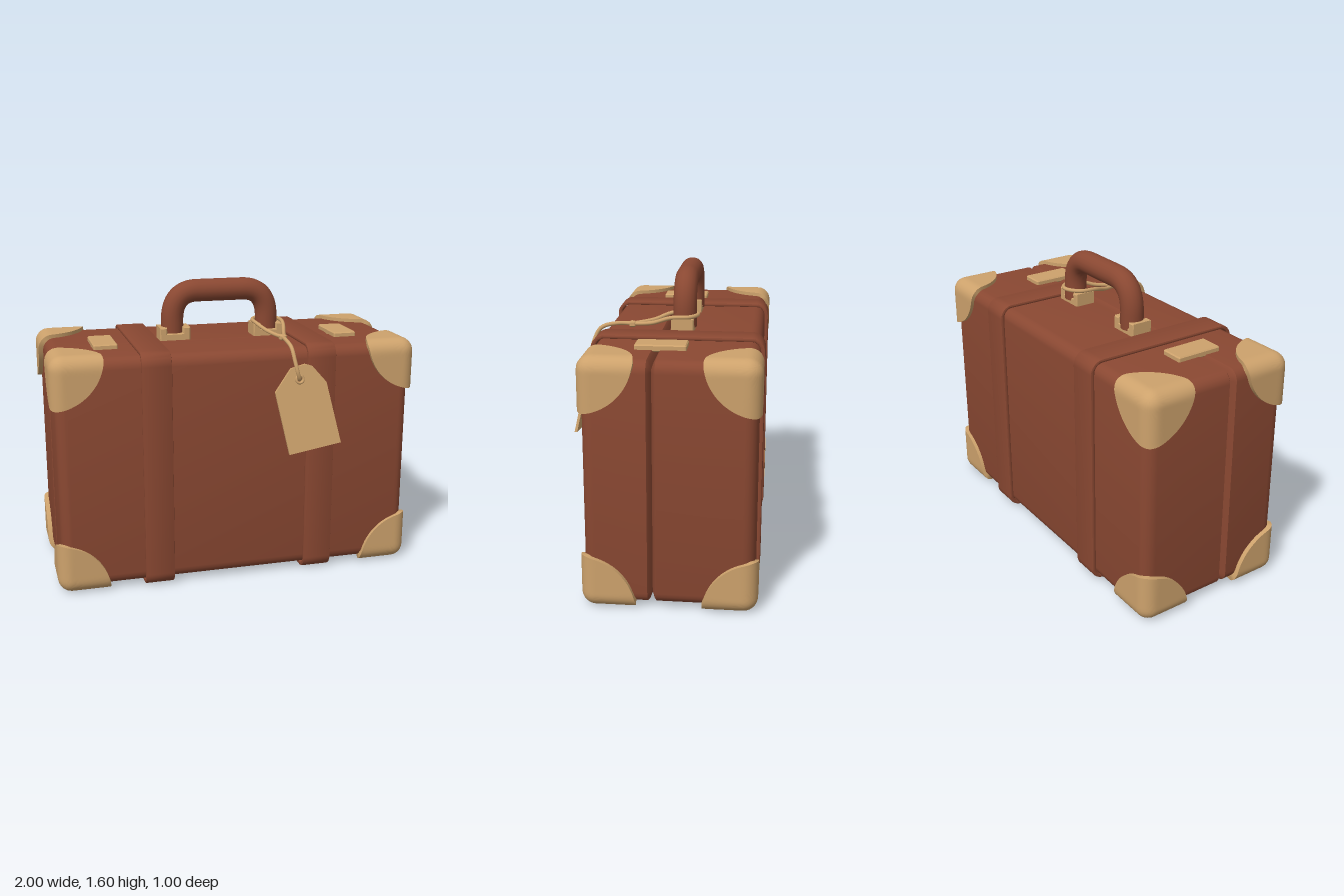
import * as THREE from 'three';
import { toCreasedNormals } from 'three/addons/utils/BufferGeometryUtils.js';

const leather = new THREE.MeshStandardMaterial({ color: 0x8a4832 });
leather.name = 'brown leather';
const tan = new THREE.MeshStandardMaterial({ color: 0xcda26c });
tan.name = 'tan leather';

const V = (x, y, z) => new THREE.Vector3(x, y, z);

function indexed(points, index, crease = 0.7) {
  const g = new THREE.BufferGeometry().setFromPoints(points);
  g.setIndex(index);
  return toCreasedNormals(g, crease);
}

// Case: rounded rectangles lofted from back to front, pinched at the seam
function caseGeometry() {
  const r = 0.06, hx = 0.975, hy = 0.6275, cy = 0.6525, seam = 0.03;
  const back = -0.48, front = 0.37, steps = 5, rows = [];
  for (let i = 0; i <= steps; i++) {
    const a = (i / steps) * Math.PI / 2;
    rows.push([back + r * (1 - Math.cos(a)), r * (1 - Math.sin(a))]);
  }
  rows.push([seam - 0.022, 0], [seam - 0.012, 0.012], [seam, 0.045], [seam + 0.012, 0.012], [seam + 0.022, 0]);
  for (let i = steps; i >= 0; i--) {
    const a = (i / steps) * Math.PI / 2;
    rows.push([front - r * (1 - Math.cos(a)), r * (1 - Math.sin(a))]);
  }
  const pts = [], index = [], n = 4 * (steps + 1);
  for (const [z, inset] of rows) {
    for (let k = 0; k < 4; k++) {
      const sx = k === 0 || k === 3 ? 1 : -1, sy = k < 2 ? 1 : -1;
      for (let i = 0; i <= steps; i++) {
        const a = (k + i / steps) * Math.PI / 2;
        pts.push(V(sx * (hx - r) + (r - inset) * Math.cos(a), cy + sy * (hy - r) + (r - inset) * Math.sin(a), z));
      }
    }
  }
  for (let i = 0; i < rows.length - 1; i++) {
    for (let j = 0; j < n; j++) {
      const a = i * n + j, b = i * n + (j + 1) % n;
      index.push(a, b, b + n, a, b + n, a + n);
    }
  }
  const last = (rows.length - 1) * n;
  for (let j = 1; j < n - 1; j++) index.push(0, j + 1, j, last, last + j, last + j + 1);
  return indexed(pts, index);
}

// Corner guard: rounded box corner cut off at a fixed distance from its tip
function cornerGeometry(sx, sy, sz) {
  const tip = V(sx, sy > 0 ? 1.3 : 0, sz > 0 ? 0.39 : -0.5);
  const R = 0.28, r = 0.075, rings = 14, seg = 20, n = 3 * seg;
  const pts = [], index = [];
  for (let i = 0; i <= rings + 1; i++) {
    const s = R * Math.min(i, rings) / rings;
    for (let j = 0; j < n; j++) {
      const face = Math.floor(j / seg), a = (j % seg) / seg * Math.PI / 2;
      const q = [0, 0, 0];
      q[face] = s * Math.cos(a);
      q[(face + 1) % 3] = s * Math.sin(a);
      const core = V(...q.map(v => Math.max(v, r)));
      const d = V(...q).sub(core).normalize();
      // the last ring turns in towards the case
      core.addScaledVector(d, i > rings ? r - 0.035 : r);
      pts.push(V(tip.x - sx * core.x, tip.y - sy * core.y, tip.z - sz * core.z));
    }
  }
  const tri = (a, b, c) => (sx * sy * sz > 0 ? index.push(a, b, c) : index.push(a, c, b));
  for (let i = 0; i <= rings; i++) {
    for (let j = 0; j < n; j++) {
      const a = i * n + j, b = i * n + (j + 1) % n;
      tri(a, a + n, b + n);
      if (i > 0) tri(a, b + n, b);
    }
  }
  return indexed(pts, index, 0.8);
}

function roundedRect(path, x0, y0, x1, y1, r) {
  path.moveTo(x0 + r, y0);
  path.lineTo(x1 - r, y0);
  path.absarc(x1 - r, y0 + r, r, -Math.PI / 2, 0);
  path.lineTo(x1, y1 - r);
  path.absarc(x1 - r, y1 - r, r, 0, Math.PI / 2);
  path.lineTo(x0 + r, y1);
  path.absarc(x0 + r, y1 - r, r, Math.PI / 2, Math.PI);
  path.lineTo(x0, y0 + r);
  path.absarc(x0 + r, y0 + r, r, Math.PI, Math.PI * 1.5);
  return path;
}

// Strap: a flat band looped around the case
function strapGeometry() {
  const b = 0.007;
  const shape = roundedRect(new THREE.Shape(), -0.395 + b, b, 0.5 - b, 1.3 - b, 0.065);
  shape.holes.push(roundedRect(new THREE.Path(), -0.375 - b / 2, 0.02 - b / 2, 0.48 + b / 2, 1.284 + b / 2, 0.055));
  const g = new THREE.ExtrudeGeometry(shape, {
    depth: 0.16 - 2 * b, bevelThickness: b, bevelSize: b, bevelSegments: 2, curveSegments: 6,
  });
  g.translate(0, 0, -0.08 + b).rotateY(Math.PI / 2);
  return toCreasedNormals(g, 0.6);
}

function bevelBox(w, h, d, b = 0.006) {
  const s = roundedRect(new THREE.Shape(), -w / 2 + b, -d / 2 + b, w / 2 - b, d / 2 - b, 0.004);
  const g = new THREE.ExtrudeGeometry(s, {
    depth: h - 2 * b, bevelThickness: b, bevelSize: b, bevelSegments: 1, curveSegments: 2,
  });
  return g.translate(0, 0, -h / 2 + b).rotateX(-Math.PI / 2);
}

// Handle bracket: a U-shaped block holding one end of the handle
function bracketGeometry() {
  const s = new THREE.Shape([
    [-0.08, 1.272], [0.08, 1.272], [0.08, 1.345], [0.05, 1.345], [0.05, 1.312],
    [-0.05, 1.312], [-0.05, 1.345], [-0.08, 1.345],
  ].map(p => new THREE.Vector2(...p)));
  const g = new THREE.ExtrudeGeometry(s, {
    depth: 0.11, bevelThickness: 0.005, bevelSize: 0.005, bevelSegments: 1,
  });
  return g.translate(0, 0, -0.115);
}

// Tag: a clipped plate with a hole, leaning outwards at the bottom
function tagGeometry() {
  const s = new THREE.Shape([
    [0.24, 0.73], [0.533, 0.775], [0.465, 1.1], [0.39, 1.187], [0.35, 1.2], [0.268, 1.18], [0.176, 1.06],
  ].map(p => new THREE.Vector2(...p)));
  s.holes.push(new THREE.Path().absarc(0.315, 1.123, 0.016, 0, Math.PI * 2, true));
  const g = new THREE.ExtrudeGeometry(s, { depth: 0.014, bevelEnabled: false, curveSegments: 8 });
  const p = g.attributes.position;
  for (let i = 0; i < p.count; i++) p.setZ(i, p.getZ(i) + 0.482 - (p.getY(i) - 0.75) * 0.2);
  g.computeVertexNormals();
  return g;
}

const string = (points, closed) => new THREE.TubeGeometry(
  new THREE.CatmullRomCurve3(points.map(p => V(...p)), closed), 48, 0.011, 8, closed);

export function createModel() {
  const model = new THREE.Group();
  model.name = 'suitcase';
  const add = (name, geometry, material, x = 0, y = 0, z = 0) => {
    const mesh = new THREE.Mesh(geometry, material);
    mesh.name = name;
    mesh.position.set(x, y, z);
    model.add(mesh);
    return mesh;
  };

  add('case', caseGeometry(), leather);
  for (const sx of [1, -1]) {
    const side = sx > 0 ? 'left' : 'right';
    for (const sy of [1, -1]) {
      for (const sz of [1, -1]) {
        add(`${side}${sy > 0 ? 'Top' : 'Bottom'}${sz > 0 ? 'Front' : 'Back'}Corner`, cornerGeometry(sx, sy, sz), tan);
      }
    }
    add(`${side}Strap`, strapGeometry(), leather, sx * 0.45);
    add(`${side}Latch`, bevelBox(0.13, 0.035, 0.26), tan, sx * 0.675, 1.288, 0.01);
    add(`${side}HandleBracket`, bracketGeometry(), tan, sx * 0.268);
  }

  // Handle
  const z = -0.068, path = new THREE.CurvePath();
  path.add(new THREE.LineCurve3(V(-0.272, 1.3, z), V(-0.272, 1.38, z)));
  path.add(new THREE.CubicBezierCurve3(V(-0.272, 1.38, z), V(-0.272, 1.48, z), V(-0.23, 1.542, z), V(-0.13, 1.542, z)));
  path.add(new THREE.LineCurve3(V(-0.13, 1.542, z), V(0.13, 1.542, z)));
  path.add(new THREE.CubicBezierCurve3(V(0.13, 1.542, z), V(0.23, 1.542, z), V(0.272, 1.48, z), V(0.272, 1.38, z)));
  path.add(new THREE.LineCurve3(V(0.272, 1.38, z), V(0.272, 1.3, z)));
  add('handle', new THREE.TubeGeometry(path, 64, 0.062, 18), leather);

  // Tag and its string, looped around the handle
  add('tag', tagGeometry(), tan);
  add('stringLoop', string([
    [0.285, 1.312, 0.2], [0.235, 1.325, 0.1], [0.195, 1.355, 0.01], [0.2, 1.362, -0.09], [0.27, 1.365, -0.138],
    [0.338, 1.362, -0.1], [0.348, 1.358, 0], [0.325, 1.325, 0.1],
  ], true), tan);
  add('stringKnot', bevelBox(0.04, 0.03, 0.035), tan, 0.285, 1.31, 0.21);
  add('tagString', string([
    [0.285, 1.31, 0.2], [0.278, 1.31, 0.29], [0.28, 1.285, 0.38], [0.288, 1.22, 0.418],
    [0.3, 1.16, 0.432], [0.315, 1.123, 0.42], [0.318, 1.125, 0.395],
  ], false), tan);
  const eyelet = add('tagEyelet', new THREE.TorusGeometry(0.02, 0.007, 8, 20), tan, 0.315, 1.123, 0.422);
  eyelet.rotation.x = -0.2;
  return model;
}
